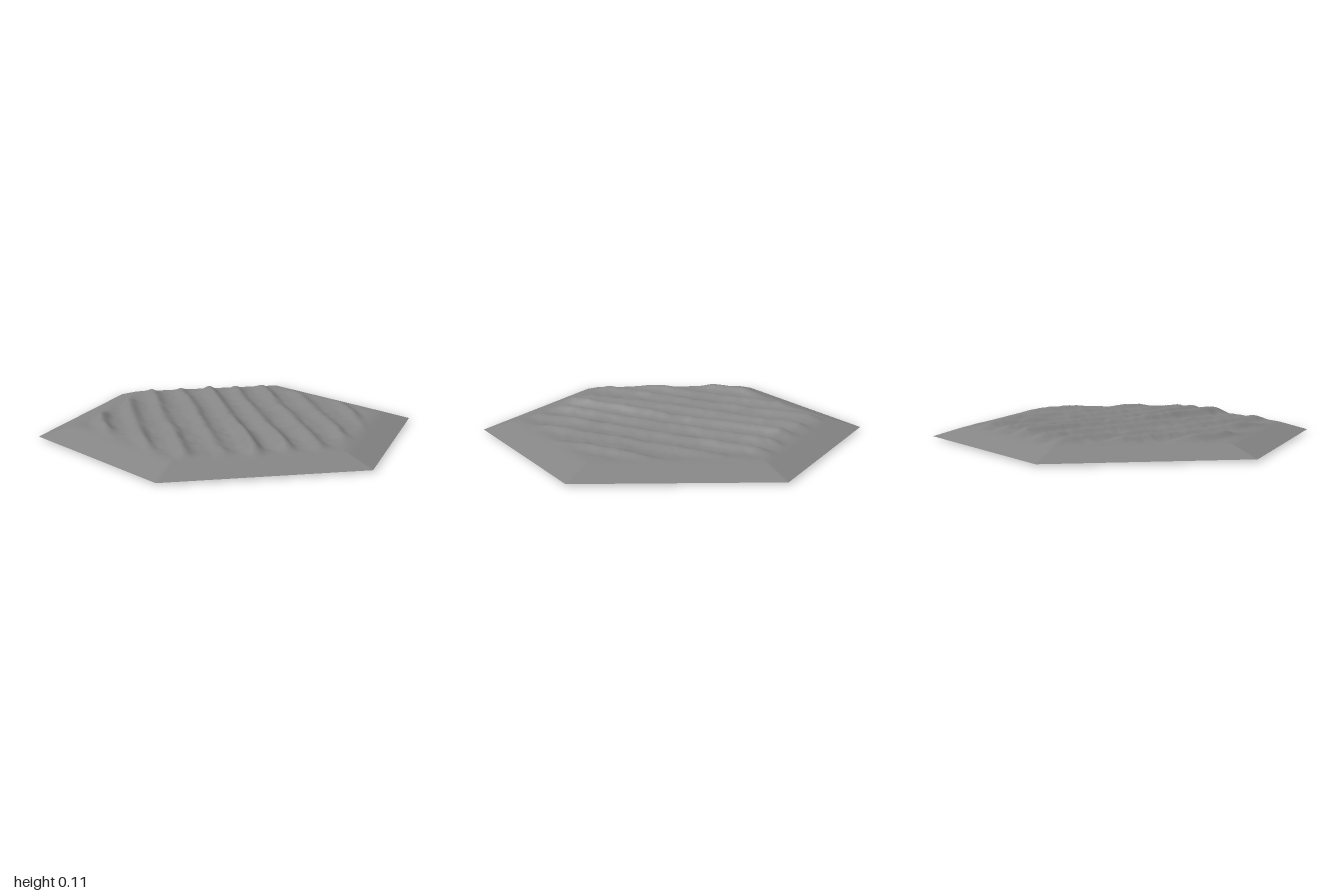
import * as THREE from 'three';
import { mergeVertices } from 'three/addons/utils/BufferGeometryUtils.js';

const RIM = 0.01;      // height of the sharp outer edge
const PLATEAU = 0.062; // height of the soil between ridges
const INNER = 0.82;    // where the sloping border meets the field
const FOOT = 0.9;      // radius of the flat underside
const RINGS = 100;

// Ridges: x position, then crest height above the soil at back, middle and front
const RIDGES = [
  [-0.67, 0.024, 0.036, 0.024],
  [-0.505, 0.030, 0.022, 0.034],
  [-0.345, 0.026, 0.020, 0.028],
  [-0.17, 0.024, 0.026, 0.020],
  [-0.01, 0.030, 0.030, 0.045],
  [0.145, 0.024, 0.024, 0.036],
  [0.31, 0.028, 0.020, 0.028],
  [0.475, 0.022, 0.020, 0.026],
  [0.65, 0.016, 0.022, 0.016],
];

// Smooth repeatable lump pattern
function hash(i, j) {
  const s = Math.sin(i * 127.1 + j * 311.7) * 43758.5453;
  return s - Math.floor(s);
}
function noise(x, z) {
  const i = Math.floor(x), j = Math.floor(z);
  const u = THREE.MathUtils.smoothstep(x - i, 0, 1);
  const v = THREE.MathUtils.smoothstep(z - j, 0, 1);
  const a = THREE.MathUtils.lerp(hash(i, j), hash(i + 1, j), u);
  const b = THREE.MathUtils.lerp(hash(i, j + 1), hash(i + 1, j + 1), u);
  return THREE.MathUtils.lerp(a, b, v) * 2 - 1;
}

// Hexagonal distance from the centre: 1 on the outer edge
function hexDistance(x, z) {
  const ax = Math.abs(x), az = Math.abs(z);
  return Math.max(az / (Math.sqrt(3) / 2), ax + az / Math.sqrt(3));
}

function heightAt(x, z) {
  const d = hexDistance(x, z);
  // Straight slope that rounds over softly into the plateau
  const slope = (1 - d) / (1 - INNER);
  const over = THREE.MathUtils.clamp((slope - 0.8) / 0.4, 0, 1);
  const border = slope < 0.8 ? slope : 0.8 + 0.4 * (over - over * over / 2);
  // Ragged outline where the worked soil fades out
  const ragged = d + 0.02 * noise(x * 11, z * 11);
  const field = 1 - THREE.MathUtils.smoothstep(ragged, 0.7, 0.84);
  let y = RIM + (PLATEAU - RIM) * border;
  y += field * (0.003 * noise(x * 7, z * 7) + 0.003 * noise(x * 20, z * 20)
    + 0.0012 * noise(x * 45, z * 45));
  RIDGES.forEach(([cx, back, middle, front], k) => {
    const end = z < 0 ? back : front;
    const t = THREE.MathUtils.smoothstep(Math.abs(z), 0, 0.55);
    const crest = THREE.MathUtils.lerp(middle, end, t) * (1 + 0.12 * noise(z * 9, k * 5.3));
    const offset = (x - cx - 0.007 * noise(z * 5, k * 3.7)) / 0.038;
    y += field * crest * Math.exp(-offset * offset);
  });
  return y;
}

// Hexagonal sheet of small triangles, lifted by the height rule
function fieldGeometry() {
  const positions = [];
  const corner = (k) => [Math.cos(k * Math.PI / 3), Math.sin(k * Math.PI / 3)];
  for (let k = 0; k < 6; k++) {
    const a = corner(k), b = corner(k + 1);
    const add = (i, j) => {
      const x = ((i - j) * a[0] + j * b[0]) / RINGS;
      const z = ((i - j) * a[1] + j * b[1]) / RINGS;
      positions.push(x, heightAt(x, z), z);
    };
    for (let i = 0; i < RINGS; i++) {
      for (let j = 0; j <= i; j++) {
        add(i, j); add(i + 1, j + 1); add(i + 1, j);
        if (j < i) { add(i, j); add(i, j + 1); add(i + 1, j + 1); }
      }
    }
  }
  const soup = new THREE.BufferGeometry();
  soup.setAttribute('position', new THREE.Float32BufferAttribute(positions, 3));
  const geometry = mergeVertices(soup);
  geometry.computeVertexNormals();
  return geometry;
}

export function createModel() {
  const group = new THREE.Group();
  group.name = 'ploughedFieldTile';
  const smooth = new THREE.MeshStandardMaterial({ color: 0x858585 });
  const flat = new THREE.MeshStandardMaterial({ color: 0x858585, flatShading: true });
  const add = (name, geometry, material) => {
    const mesh = new THREE.Mesh(geometry, material);
    mesh.name = name;
    group.add(mesh);
  };

  // Ridged soil with its sloping border
  add('ploughedField', fieldGeometry(), smooth);

  // Shallow undercut from the sharp edge down to the underside
  const rim = new THREE.CylinderGeometry(1, FOOT, RIM, 6, 1, true);
  rim.rotateY(Math.PI / 6).translate(0, RIM / 2, 0);
  add('rim', rim, flat);

  // Flat underside
  add('underside', new THREE.CircleGeometry(FOOT, 6).rotateX(Math.PI / 2), flat);

  return group;
}
